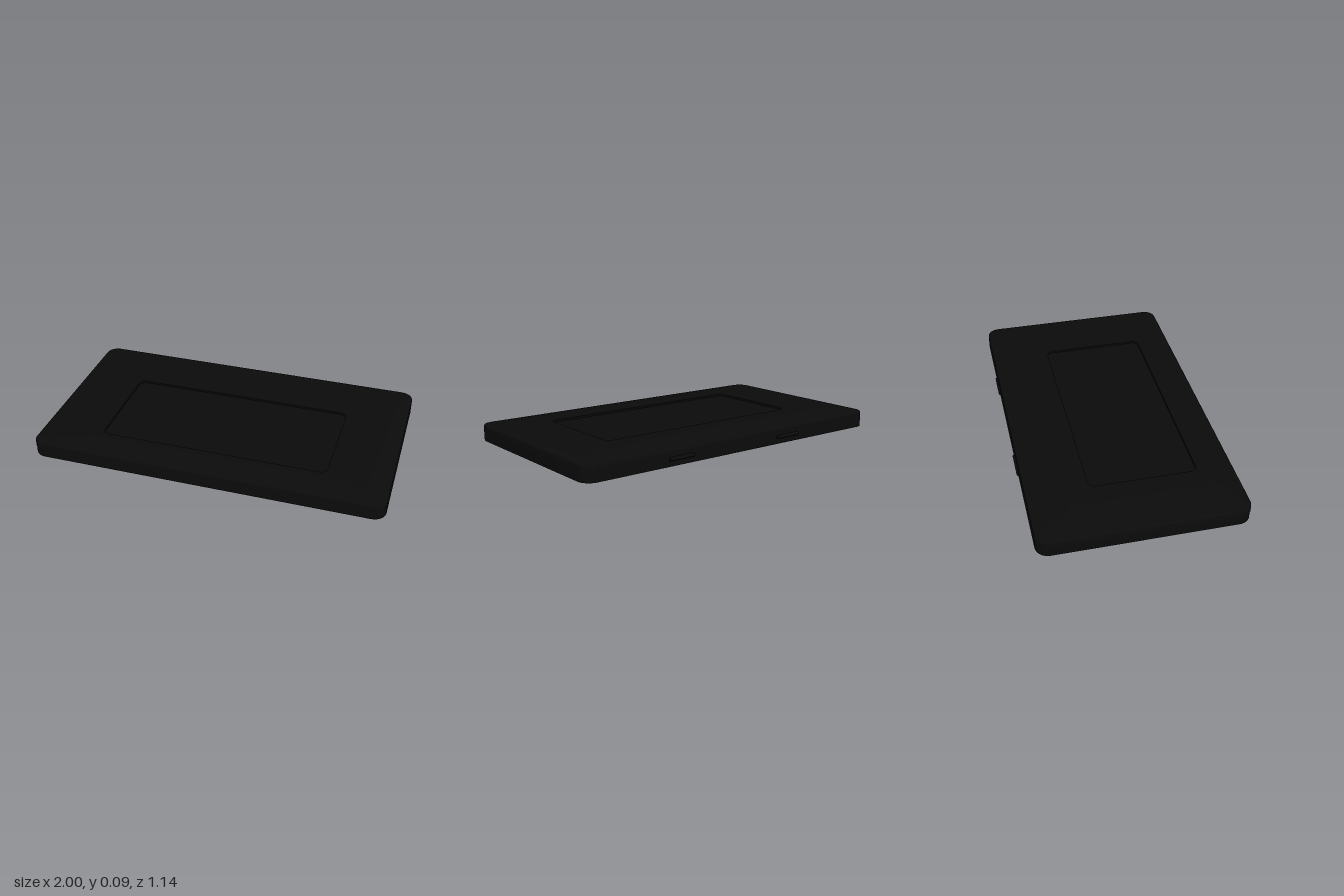
import * as THREE from 'three';
import { toCreasedNormals } from 'three/addons/utils/BufferGeometryUtils.js';

const ARC = 8; // segments per rounded corner

// Rounded rectangle between z0 and z1, half width hw, corner radius r, at height y
function ring(hw, z0, z1, r, y) {
  const points = [];
  const cz = (z0 + z1) / 2, hd = (z1 - z0) / 2;
  const corners = [[1, 1], [-1, 1], [-1, -1], [1, -1]];
  corners.forEach(([sx, sz], c) => {
    for (let i = 0; i <= ARC; i++) {
      const a = (c + i / ARC) * Math.PI / 2;
      points.push([sx * (hw - r) + r * Math.cos(a), y, cz + sz * (hd - r) + r * Math.sin(a)]);
    }
  });
  return points;
}

// Skin a sequence of rings; a zero-size ring closes an end
function loft(rings) {
  const n = rings[0].length, index = [];
  for (let k = 0; k < rings.length - 1; k++) {
    for (let i = 0; i < n; i++) {
      const j = (i + 1) % n;
      const a = k * n + i, b = k * n + j;
      index.push(a, a + n, b + n, a, b + n, b);
    }
  }
  const g = new THREE.BufferGeometry();
  g.setAttribute('position', new THREE.Float32BufferAttribute(rings.flat(2), 3));
  g.setIndex(index);
  return toCreasedNormals(g, 0.6);
}

export function createModel() {
  const group = new THREE.Group();
  const black = new THREE.MeshStandardMaterial({ color: 0x0b0b0b });
  const add = (name, geometry) => {
    const mesh = new THREE.Mesh(geometry, black);
    mesh.name = name;
    group.add(mesh);
    return mesh;
  };

  const back = -0.56, front = 0.57, seam = 0.047, top = 0.092, R = 0.07;

  // Lower half of the case
  add('base', loft([
    ring(0, 0, 0, 0, 0),
    ring(1, back, front, R, 0),
    ring(1, back, front, R, seam),
  ]));

  // Lid: slight front lip, rounded top edge, shallow recessed panel
  const lidRings = [ring(1, back, front, R, seam), ring(1, back, front + 0.003, R, seam)];
  const round = 0.012;
  for (let i = 0; i <= 4; i++) {
    const a = i / 4 * Math.PI / 2;
    const inset = round * (1 - Math.cos(a));
    lidRings.push(ring(1 - inset, back + inset, front + 0.003 - inset, R - inset, top - round + round * Math.sin(a)));
  }
  const floor = top - 0.012;
  lidRings.push(
    ring(0.65, -0.22, 0.375, 0.04, top),
    ring(0.65, -0.22, 0.375, 0.04, floor),
    ring(0, 0.08, 0.08, 0, floor),
  );
  add('lid', loft(lidRings));

  // Hinge barrels along the back seam
  [['rightHinge', -0.335], ['leftHinge', 0.42]].forEach(([name, x]) => {
    const hinge = add(name, new THREE.CylinderGeometry(0.01, 0.01, 0.16, 16));
    hinge.rotation.z = Math.PI / 2;
    hinge.position.set(x, 0.04, -0.562);
  });

  return group;
}
